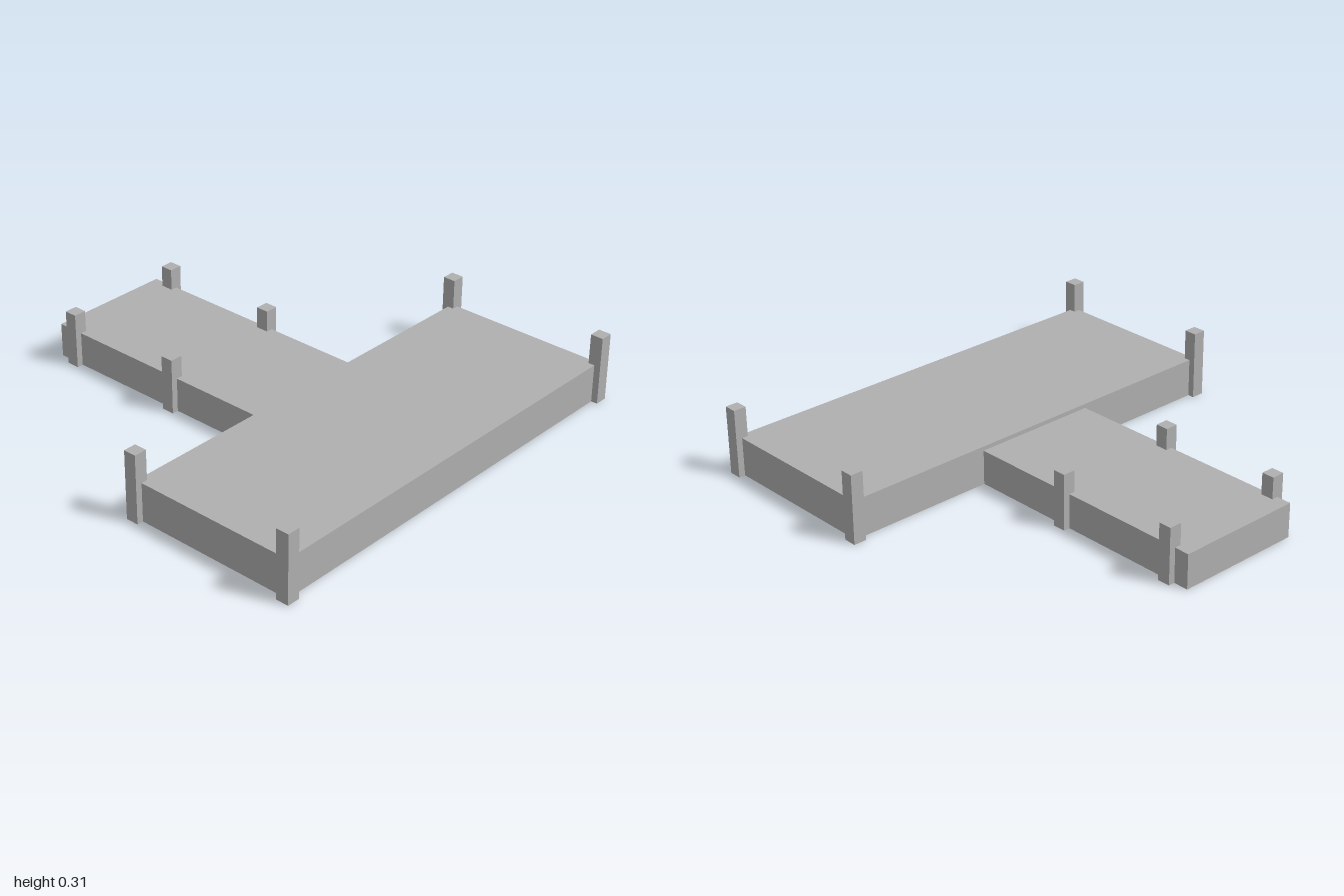
import * as THREE from 'three';

export function createModel() {
  const model = new THREE.Group();
  model.name = 'dock';
  const grey = new THREE.MeshStandardMaterial({ color: 0xb0b0b0 });
  grey.name = 'plain grey';

  const S = 2 / 10.3; // grid unit: the main deck is 10 wide, posts are 0.3 thick
  const back = -10.15 / 2; // rear edge of the walkway
  const junction = back + 6; // where walkway meets the main deck

  // A box standing on the ground, sizes in grid units
  function block(name, width, height, depth, x, z) {
    const geometry = new THREE.BoxGeometry(width * S, height * S, depth * S);
    const mesh = new THREE.Mesh(geometry, grey);
    mesh.name = name;
    mesh.position.set(x * S, (height * S) / 2, z * S);
    model.add(mesh);
  }

  // Platforms
  block('mainDeck', 10, 0.9, 4, 0, junction + 2);
  block('walkway', 3, 0.8, 6, 0, back + 3);

  // Mooring posts, mirrored on both sides
  for (const [side, sign] of [['left', 1], ['right', -1]]) {
    block(`${side}FrontDeckPost`, 0.3, 1.6, 0.3, sign * 5, junction + 4);
    block(`${side}RearDeckPost`, 0.3, 1.6, 0.3, sign * 5, junction);
    block(`${side}FrontWalkwayPost`, 0.3, 1.3, 0.3, sign * 1.5, back + 3.5);
    block(`${side}RearWalkwayPost`, 0.3, 1.3, 0.3, sign * 1.5, back + 0.5);
  }
  return model;
}
